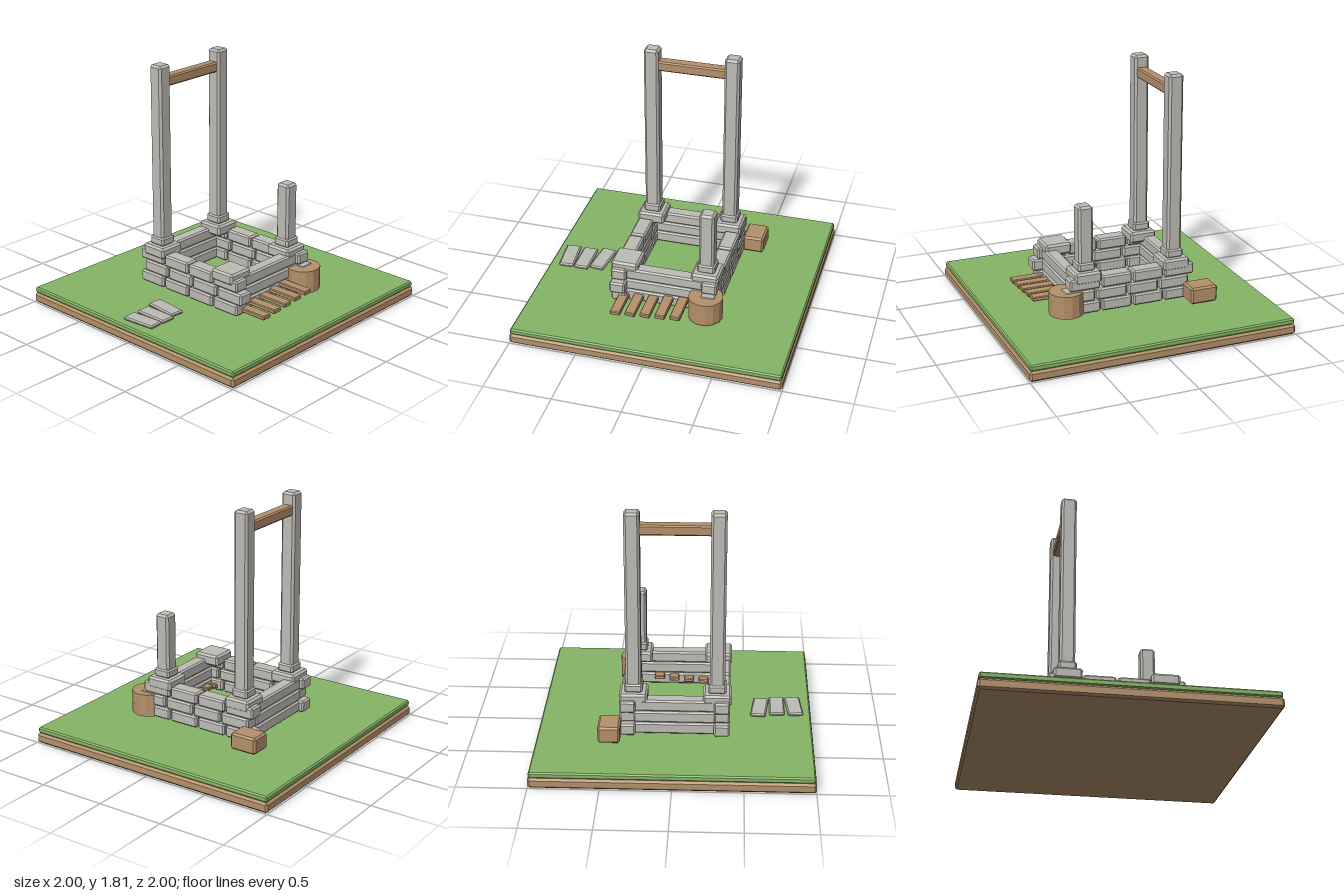
import * as THREE from 'three';
import { ConvexGeometry } from 'three/addons/geometries/ConvexGeometry.js';

const material = (name, color) => {
  const m = new THREE.MeshStandardMaterial({ color });
  m.name = name;
  return m;
};

// Box with flat chamfers on every edge
function chamferBox(w, h, d, b) {
  const points = [];
  for (const x of [-1, 1]) for (const y of [-1, 1]) for (const z of [-1, 1]) {
    const [X, Y, Z] = [x * w / 2, y * h / 2, z * d / 2];
    points.push(
      new THREE.Vector3(X, Y - y * b, Z - z * b),
      new THREE.Vector3(X - x * b, Y, Z - z * b),
      new THREE.Vector3(X - x * b, Y - y * b, Z));
  }
  return new ConvexGeometry(points);
}

export function createModel() {
  const model = new THREE.Group();
  model.name = 'ruinedWell';
  const stone = material('stone', 0xbebcb6);
  const wood = material('wood', 0xb5916b);
  const grass = material('grass', 0x86b566);

  // Place a chamfered block by its centre in x and z and its bottom and top
  const block = (name, mat, x, z, y0, y1, w, d, bevel = 0.012, turn = 0) => {
    const mesh = new THREE.Mesh(chamferBox(w, y1 - y0, d, bevel), mat);
    mesh.name = name;
    mesh.position.set(x, (y0 + y1) / 2, z);
    mesh.rotation.y = turn;
    model.add(mesh);
    return mesh;
  };

  // Ground slab
  block('soil', wood, 0, 0, 0, 0.075, 2, 2, 0.015);
  block('lawn', grass, 0, 0, 0.075, 0.12, 1.985, 1.985, 0.01);

  // Three courses: staggered bricks front and back, long blocks at the sides
  for (let course = 0; course < 3; course++) {
    const y0 = 0.14 + course * 0.09, y1 = y0 + 0.087;
    const shift = course === 1 ? 0.04 : 0;
    for (const side of [-1, 1]) {
      for (let i = 0; i < 4; i++) {
        block('wallBrick', stone, -0.365 + i * 0.243 + shift, side * 0.338, y0, y1, 0.23, 0.115);
      }
      block('sideWallBlock', stone, side * 0.396, 0, y0, y1, 0.1, 0.59);
    }
  }

  // Corner caps and posts; the front left corner has lost its post
  const corners = [[-0.343, 0.303, 1.81], [-0.343, -0.297, 1.81], [0.34, -0.297, 0.93], [0.34, 0.303, 0]];
  for (const [x, z, top] of corners) {
    block('cornerCap', stone, x, z, 0.365, 0.45, 0.203, 0.203, 0.015);
    if (!top) continue;
    block('postFoot', stone, x, z, 0.445, 0.515, 0.13, 0.13, 0.014);
    block('post', stone, x, z, 0.46, top, 0.11, 0.11, 0.016);
  }

  // Cross beam
  block('crossBeam', wood, -0.343, 0, 1.645, 1.72, 0.082, 0.69, 0.01);

  // Row of loose planks, each a little higher towards the back
  for (let i = 0; i < 5; i++) {
    const y = 0.176 + i * 0.01;
    block('plank', wood, 0.488, 0.302 - i * 0.1115, y - 0.016, y + 0.016, 0.395, 0.076, 0.006);
  }

  // Crate and stump
  block('crate', wood, -0.498, -0.465, 0.14, 0.265, 0.207, 0.16, 0.014);
  const stump = new THREE.Mesh(new THREE.CylinderGeometry(0.126, 0.126, 0.17, 14).toNonIndexed(), wood);
  stump.geometry.computeVertexNormals();
  stump.name = 'stump';
  stump.position.set(0.485, 0.227, -0.322);
  model.add(stump);

  // Stepping stones
  for (const [x, z, turn] of [[-0.005, 0.615, -0.11], [0.02, 0.743, 0], [0.02, 0.87, 0.09]]) {
    block('steppingStone', stone, x, z, 0.12, 0.146, 0.262, 0.112, 0.009, turn);
  }

  return model;
}
